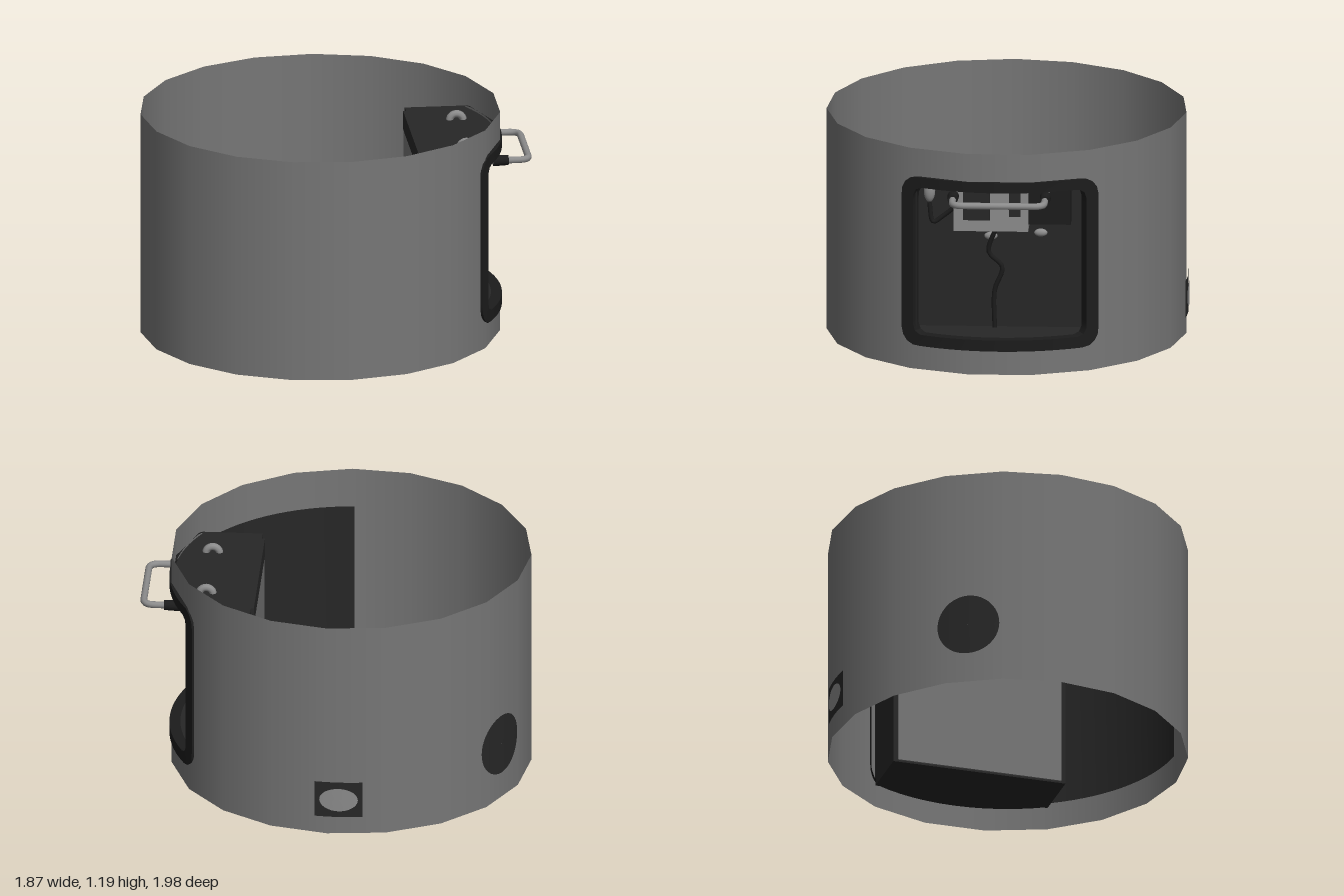
import * as THREE from 'three';
import { toCreasedNormals } from 'three/addons/utils/BufferGeometryUtils.js';

const R = 0.94, H = 1.19, RAD = Math.PI / 180;

function material(name, color) {
  const m = new THREE.MeshStandardMaterial({ color, side: THREE.DoubleSide });
  m.name = name;
  return m;
}

// Wraps a flat geometry round the ring axis at radius r
function bend(geo, r) {
  const p = geo.attributes.position;
  for (let i = 0; i < p.count; i++) {
    const a = p.getX(i) / R;
    p.setXYZ(i, r * Math.sin(a), p.getY(i), r * Math.cos(a));
  }
  geo.computeVertexNormals();
  return geo;
}

function roundedOutline(hw, y0, y1, r) {
  const s = new THREE.Shape();
  s.absarc(hw - r, y1 - r, r, 0, Math.PI / 2);
  s.absarc(-hw + r, y1 - r, r, Math.PI / 2, Math.PI);
  s.absarc(-hw + r, y0 + r, r, Math.PI, Math.PI * 1.5);
  s.absarc(hw - r, y0 + r, r, Math.PI * 1.5, Math.PI * 2);
  s.closePath();
  return s.getSpacedPoints(96);
}

// Curved gasket: cross-section rows joined in a loop round the opening
function frameGeometry() {
  const outer = roundedOutline(32.8 * RAD * R, 0.13, 1.04, 0.09);
  const inner = roundedOutline(28.5 * RAD * R, 0.19, 0.985, 0.05);
  const rows = [[outer, 0.925], [outer, 0.947], [inner, 0.947], [inner, 0.89]];
  const pos = [], idx = [], n = outer.length;
  for (const [pts, r] of rows)
    for (const p of pts) pos.push(r * Math.sin(p.x / R), p.y, r * Math.cos(p.x / R));
  for (let j = 0; j < rows.length - 1; j++)
    for (let i = 0; i < n - 1; i++) {
      const a = j * n + i, b = a + n;
      idx.push(a, b, a + 1, a + 1, b, b + 1);
    }
  const g = new THREE.BufferGeometry();
  g.setAttribute('position', new THREE.Float32BufferAttribute(pos, 3));
  g.setIndex(idx);
  g.computeVertexNormals();
  return toCreasedNormals(g, 0.6);
}

export function createModel() {
  const grey = material('wall grey', 0x777777);
  const dark = material('dark housing', 0x272727);
  const black = material('black rubber', 0x1c1c1c);
  const metal = material('light metal', 0x8c8c8c);

  const model = new THREE.Group();
  model.name = 'cylindricalHousing';

  const sector = (name, deg) => {
    const g = new THREE.Group();
    g.name = name;
    g.position.z = 0.06;
    g.rotation.y = deg * RAD;
    model.add(g);
    return g;
  };
  const add = (parent, name, geo, mat, x = 0, y = 0, z = 0) => {
    const m = new THREE.Mesh(geo, mat);
    m.name = name;
    m.position.set(x, y, z);
    parent.add(m);
    return m;
  };
  // Box given by its limits
  const block = (parent, name, mat, x0, x1, y0, y1, z0, z1) =>
    add(parent, name, new THREE.BoxGeometry(x1 - x0, y1 - y0, z1 - z0), mat,
      (x0 + x1) / 2, (y0 + y1) / 2, (z0 + z1) / 2);

  // Open ring wall, left clear where the equipment bay sits
  const ring = sector('ringWall', 0);
  const wall = (name, y0, y1, start, sweep, segs) =>
    add(ring, name, new THREE.CylinderGeometry(R, R, y1 - y0, segs, 1, true, start * RAD, sweep * RAD),
      grey, 0, (y0 + y1) / 2, 0);
  wall('mainWall', 0, H, 180, 300, 16);
  wall('wallAboveBay', 1.01, H, 120, 60, 3);
  wall('wallBelowBay', 0, 0.16, 120, 60, 3);

  // Equipment bay, local +z points outwards
  const bay = sector('equipmentBay', 150);
  add(bay, 'bayFrame', frameGeometry(), black);
  const plan = new THREE.Shape();
  plan.moveTo(-0.468, 0.495);
  plan.lineTo(0.468, 0.495);
  plan.absarc(0, 0, 0.925, 60 * RAD, 120 * RAD, false);
  plan.closePath();
  for (const [name, top] of [['bayTop', 1.03], ['bayBottom', 0.15]]) {
    const plate = new THREE.ExtrudeGeometry(plan, { depth: 0.03, bevelEnabled: false, curveSegments: 6 });
    plate.rotateX(Math.PI / 2);
    add(bay, name, plate, dark, 0, top, 0);
  }
  block(bay, 'bayBack', dark, -0.465, 0.465, 0.12, 1.03, 0.495, 0.52);
  block(bay, 'backLip', dark, -0.41, 0.41, 0.93, 1.03, 0.48, 0.496);
  block(bay, 'backPanel', grey, -0.445, 0.445, 0.13, 0.93, 0.486, 0.496);
  for (const s of [-1, 1]) {
    const x = s * 0.457;
    block(bay, 'baySide', dark, x - 0.012, x + 0.012, 0.12, 1.03, 0.495, 0.81);
  }

  // Equipment inside the bay
  block(bay, 'controlBox', metal, -0.25, 0.14, 0.7, 0.93, 0.52, 0.66);
  block(bay, 'controlWindow', dark, -0.2, -0.06, 0.76, 0.91, 0.66, 0.664);
  block(bay, 'controlLabel', dark, 0.04, 0.1, 0.78, 0.92, 0.66, 0.664);
  block(bay, 'sideUnit', black, 0.14, 0.36, 0.73, 0.92, 0.52, 0.62);
  const lamp = add(bay, 'lamp', new THREE.SphereGeometry(0.03, 16, 10), metal, -0.38, 0.88, 0.53);
  lamp.scale.set(1, 2, 0.8);
  for (const [x, y] of [[-0.06, 0.64], [0.2, 0.66]]) {
    const clip = add(bay, 'cableClip', new THREE.SphereGeometry(0.035, 12, 8), metal, x, y, 0.525);
    clip.scale.set(1, 0.6, 0.5);
  }
  const cable = (pts) => add(bay, 'cable', new THREE.TubeGeometry(
    new THREE.CatmullRomCurve3(pts.map(p => new THREE.Vector3(...p))), 24, 0.012, 8), black);
  cable([[-0.38, 0.82, 0.54], [-0.36, 0.72, 0.55], [-0.31, 0.75, 0.55], [-0.25, 0.8, 0.56]]);
  cable([[-0.03, 0.7, 0.57], [-0.07, 0.56, 0.55], [0, 0.48, 0.55], [-0.04, 0.35, 0.54], [-0.04, 0.15, 0.54]]);

  // Grab handle with rounded corners
  const V = (x, z) => new THREE.Vector3(x, 0.95, z);
  const path = new THREE.CurvePath();
  path.add(new THREE.LineCurve3(V(-0.24, 0.74), V(-0.24, 1.01)));
  path.add(new THREE.QuadraticBezierCurve3(V(-0.24, 1.01), V(-0.24, 1.07), V(-0.18, 1.07)));
  path.add(new THREE.LineCurve3(V(-0.18, 1.07), V(0.18, 1.07)));
  path.add(new THREE.QuadraticBezierCurve3(V(0.18, 1.07), V(0.24, 1.07), V(0.24, 1.01)));
  path.add(new THREE.LineCurve3(V(0.24, 1.01), V(0.24, 0.74)));
  add(bay, 'handle', new THREE.TubeGeometry(path, 80, 0.018, 10), metal);
  for (const x of [-0.24, 0.24]) {
    const collar = new THREE.CylinderGeometry(0.026, 0.03, 0.08, 14).rotateX(Math.PI / 2);
    add(bay, 'handleCollar', collar, black, x, 0.95, 0.92);
    const loop = new THREE.TorusGeometry(0.035, 0.02, 8, 12, Math.PI).rotateY(Math.PI / 2);
    add(bay, 'topLoop', loop, metal, x, 1.025, 0.74);
  }

  // Dark lining on the inside of the wall beside the bay
  const lining = sector('innerLining', 92.5);
  const liner = new THREE.PlaneGeometry(59 * RAD * R, 0.84, 16, 1);
  add(lining, 'liningSheet', bend(liner, 0.922), dark, 0, 0.56, 0);

  // Round port, seen from both sides of the wall
  const port = sector('roundPort', -60);
  for (const r of [0.945, 0.922])
    add(port, 'portDisc', bend(new THREE.RingGeometry(0.001, 0.165, 40, 6), r), dark, 0, 0.32, 0);

  // Small rectangular outlet plate with a pale oval cover
  const outlet = sector('outlet', -120);
  add(outlet, 'outletPlate', bend(new THREE.PlaneGeometry(0.25, 0.2, 8, 1), 0.945), dark, 0, 0.2, 0);
  const oval = new THREE.RingGeometry(0.001, 0.1, 32, 4).scale(1, 0.65, 1);
  add(outlet, 'outletCover', bend(oval, 0.949), metal, 0, 0.2, 0);

  return model;
}
